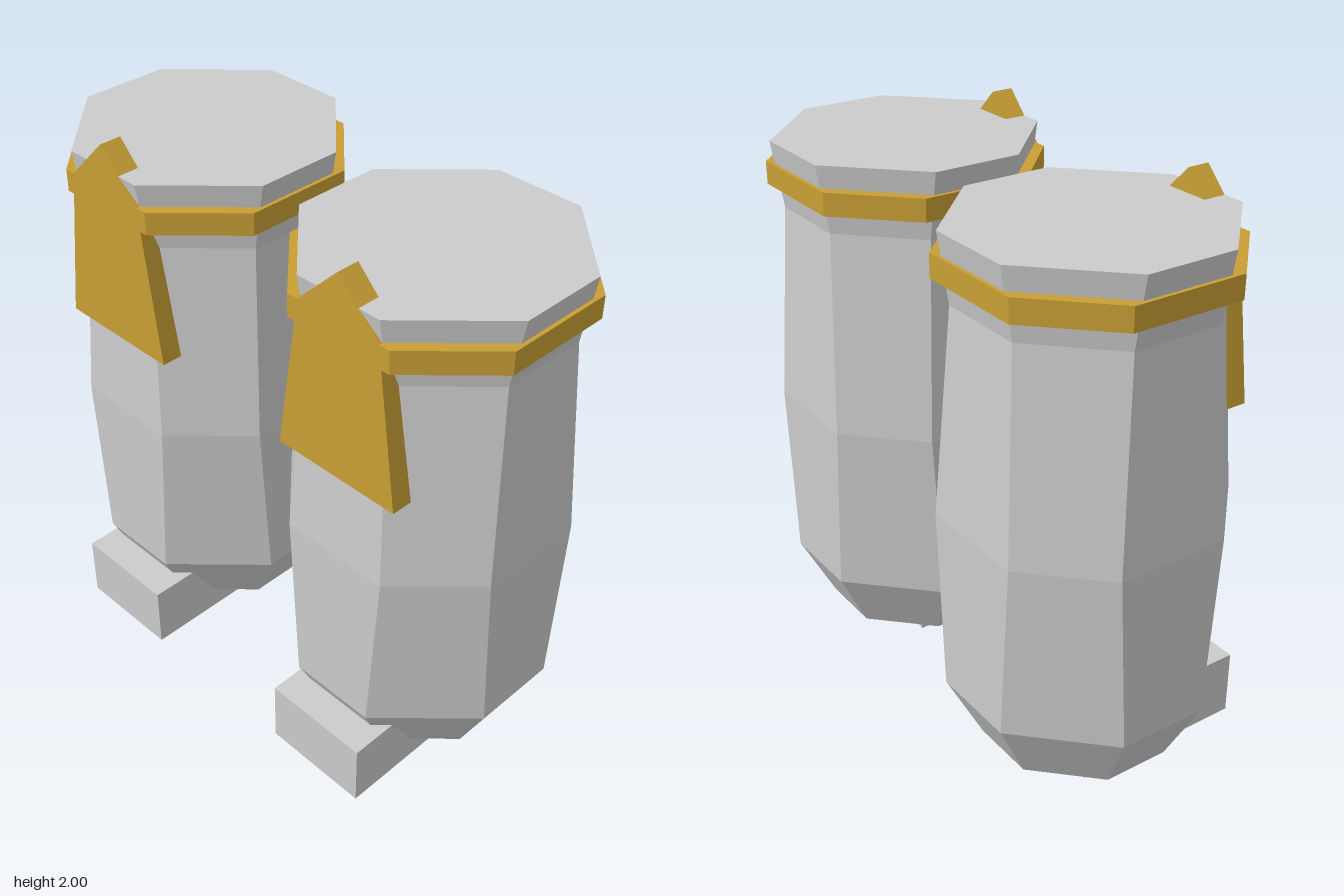
import * as THREE from 'three';

const grey = new THREE.MeshStandardMaterial({ color: 0xcccccc, flatShading: true });
const gold = new THREE.MeshStandardMaterial({ color: 0xc89f35, flatShading: true });

// Octagon ring: half = distance to the main sides, flat = half length of those sides
function octagon(y, half, flat) {
  return [[-flat, half], [flat, half], [half, flat], [half, -flat],
    [flat, -half], [-flat, -half], [-half, -flat], [-half, flat]].map(([x, z]) => [x, y, z]);
}

// Skin a stack of octagons (bottom to top) and close both ends with fans
function loft(levels) {
  const rings = levels.map(l => octagon(...l));
  const pos = [];
  const tri = (...pts) => pts.forEach(p => pos.push(...p));
  const last = rings.length - 1;
  for (let i = 0; i < 8; i++) {
    const j = (i + 1) % 8;
    for (let k = 0; k < last; k++) {
      const lo = rings[k], hi = rings[k + 1];
      tri(hi[i], lo[i], hi[j]);
      tri(lo[i], lo[j], hi[j]);
    }
    tri([0, levels[last][0], 0], rings[last][i], rings[last][j]);
    tri([0, levels[0][0], 0], rings[0][j], rings[0][i]);
  }
  const geo = new THREE.BufferGeometry();
  geo.setAttribute('position', new THREE.Float32BufferAttribute(pos, 3));
  geo.computeVertexNormals();
  return geo;
}

// Extrude an outline given as [x, y] points
function plate(points, depth) {
  const shape = new THREE.Shape(points.map(p => new THREE.Vector2(...p)));
  return new THREE.ExtrudeGeometry(shape, { depth, bevelEnabled: false });
}

function part(group, name, geo, mat) {
  const mesh = new THREE.Mesh(geo, mat);
  mesh.name = name;
  group.add(mesh);
  return mesh;
}

function makeBoot(name) {
  const boot = new THREE.Group();
  boot.name = name;

  // Faceted shaft: y, half width, half flat side
  part(boot, 'shaft', loft([
    [0.08, 0.32, 0.12],
    [0.32, 0.44, 0.16],
    [0.96, 0.44, 0.20],
    [1.68, 0.40, 0.16],
    [1.92, 0.44, 0.16],
  ]), grey);

  // Band around the top
  part(boot, 'band', loft([[1.76, 0.44, 0.20], [1.84, 0.44, 0.20]]), gold);

  // Pointed plate hanging on the front
  part(boot, 'frontPlate', plate(
    [[-0.24, 1.28], [0.24, 1.28], [0.16, 1.84], [0, 2], [-0.16, 1.84]], 0.08), gold)
    .position.z = 0.36;

  // Sole with raised toe: side profile as [z, y], extruded across x
  const foot = plate(
    [[0.52, 0], [0.52, 0.24], [0.35, 0.24], [0.24, 0.08], [-0.12, 0.08], [-0.12, 0]], 0.4);
  foot.rotateY(-Math.PI / 2).translate(0.2, 0, 0);
  part(boot, 'foot', foot, grey);
  return boot;
}

export function createModel() {
  const model = new THREE.Group();
  model.name = 'boots';
  for (const [name, x] of [['leftBoot', 0.52], ['rightBoot', -0.52]]) {
    const boot = makeBoot(name);
    boot.position.set(x, 0, -0.04);
    model.add(boot);
  }
  return model;
}
